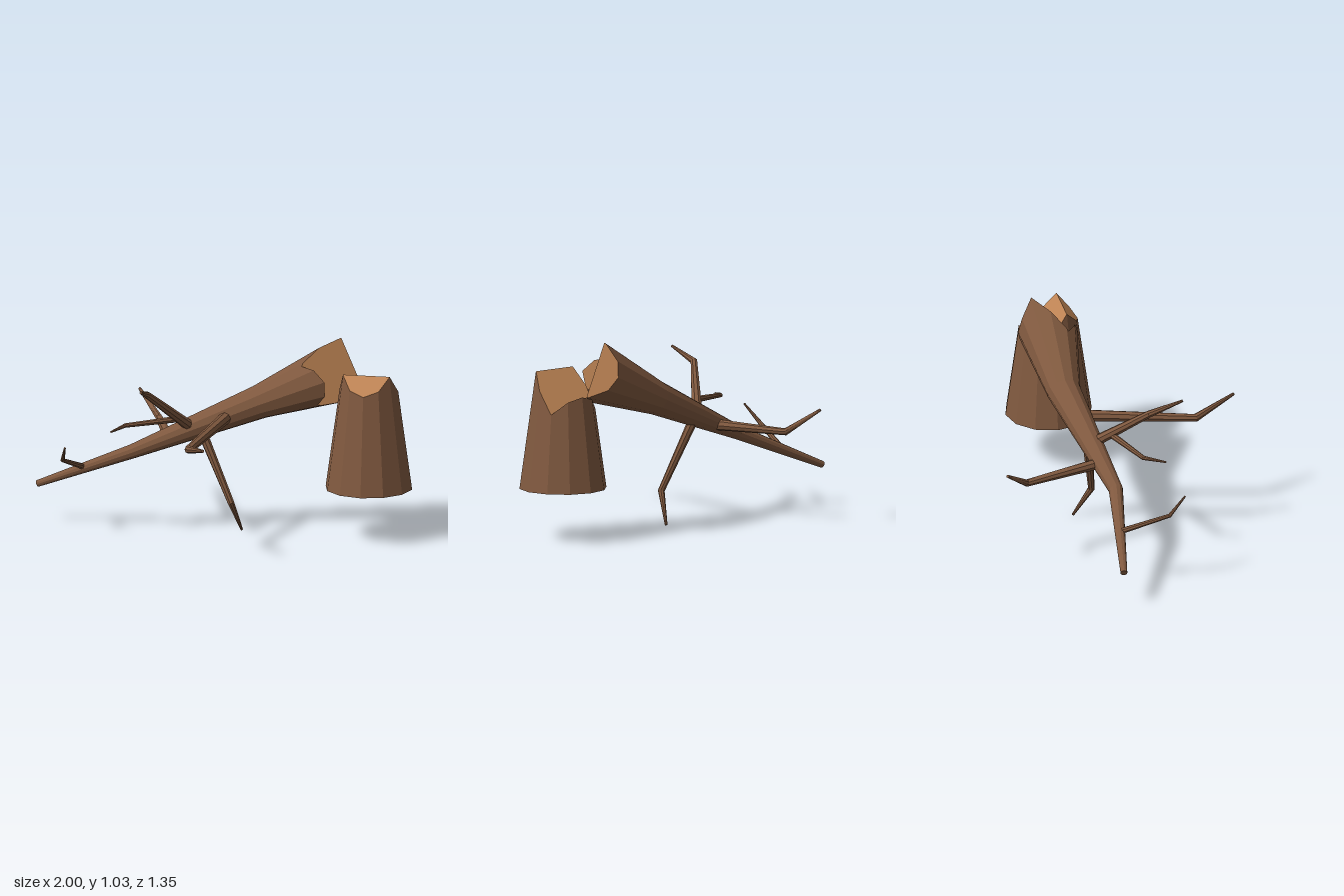
import * as THREE from 'three';

const bark = new THREE.MeshStandardMaterial({ color: 0x80593f, flatShading: true });
const wood = new THREE.MeshStandardMaterial({ color: 0xc18656, flatShading: true });
const V = (x, y, z) => new THREE.Vector3(x, y, z);

// Mesh from a flat list of triangle corners
function facets(name, corners, material) {
  const geometry = new THREE.BufferGeometry().setFromPoints(corners);
  geometry.computeVertexNormals();
  const mesh = new THREE.Mesh(geometry, material);
  mesh.name = name;
  return mesh;
}

const quad = (out, a, b, c, d) => out.push(a, b, c, a, c, d);

// Tapered limb through [x, y, z, radius] stations, with mitred rings
function limb(name, stations, sides, ref, endDir) {
  const pts = stations.map(s => V(s[0], s[1], s[2]));
  const last = pts.length - 1;
  const dir = i => pts[i + 1].clone().sub(pts[i]).normalize();
  const rings = pts.map((p, i) => {
    let t;
    if (i === 0) t = dir(0);
    else if (i === last) t = endDir || dir(i - 1);
    else t = dir(i - 1).add(dir(i)).normalize();
    const u = ref.clone().addScaledVector(t, -ref.dot(t)).normalize();
    const v = t.clone().cross(u);
    return Array.from({ length: sides }, (_, j) => {
      const a = j / sides * Math.PI * 2;
      return p.clone()
        .addScaledVector(u, Math.cos(a) * stations[i][3])
        .addScaledVector(v, Math.sin(a) * stations[i][3]);
    });
  });
  const out = [];
  for (let j = 0; j < sides; j++) {
    const k = (j + 1) % sides;
    for (let i = 0; i < last; i++)
      quad(out, rings[i][j], rings[i][k], rings[i + 1][k], rings[i + 1][j]);
    out.push(pts[0], rings[0][k], rings[0][j]);
    out.push(pts[last], rings[last][j], rings[last][k]);
  }
  return facets(name, out, bark);
}

// Twelve-sided tapered log along +y whose top follows a zigzag [z, y] profile
function choppedLog(name, radiusAt, profile) {
  const group = new THREE.Group();
  group.name = name;
  const step = Math.PI / 6;
  const flat = a => {
    const m = ((a % step) + step) % step;
    return Math.cos(step / 2) / Math.cos(m - step / 2);
  };
  const heightAt = z => {
    let i = 0;
    while (i < profile.length - 2 && z > profile[i + 1][0]) i++;
    const [z0, y0] = profile[i], [z1, y1] = profile[i + 1];
    return y0 + (y1 - y0) * (z - z0) / (z1 - z0);
  };
  // Angles of the corners, plus where each ridge or valley meets the bark
  const angles = [-3, -2, -1, 0, 1, 2, 3].map(i => i * step);
  for (const [z, y] of profile.slice(1, -1)) {
    let a = 0;
    for (let n = 0; n < 30; n++) a = Math.asin(z / (flat(a) * radiusAt(y)));
    angles.push(a);
  }
  angles.sort((a, b) => a - b);
  const at = (a, y) => {
    const r = flat(a) * radiusAt(y);
    return V(r * Math.cos(a), y, r * Math.sin(a));
  };
  const top = angles.map(a => {
    let y = 0.4;
    for (let n = 0; n < 30; n++) y = heightAt(flat(a) * radiusAt(y) * Math.sin(a));
    return at(a, y);
  });
  const low = angles.map(a => at(a, 0));
  const mirror = p => V(-p.x, p.y, p.z);
  const side = [], cut = [], centre = V(0, 0, 0);
  for (let i = 0; i < top.length - 1; i++) {
    const [a, b, c, d] = [low[i], top[i], top[i + 1], low[i + 1]];
    quad(side, a, b, c, d);
    quad(side, mirror(d), mirror(c), mirror(b), mirror(a));
    side.push(centre, a, d, centre, mirror(d), mirror(a));
    quad(cut, mirror(b), mirror(c), c, b);
  }
  group.add(facets(name + 'Bark', side, bark), facets(name + 'CutFace', cut, wood));
  return group;
}

export function createModel() {
  const model = new THREE.Group();
  model.name = 'fallenTree';
  const X = V(1, 0, 0), Y = V(0, 1, 0), Z = V(0, 0, 1);

  // Stump with a ridge and a notch
  const stump = choppedLog('stump', y => 0.23 - 0.141 * y,
    [[-0.17, 0.51], [-0.085, 0.41], [0.07, 0.62], [0.16, 0.52]]);
  stump.position.set(0.77, 0.27, -0.16);
  model.add(stump);

  // Broken butt of the trunk, leaning on the stump
  const tilt = 1.162;
  const butt = choppedLog('trunkButt', s => 0.09 + 0.16 * s,
    [[-0.15, 0.43], [-0.08, 0.52], [0.08, 0.306], [0.15, 0.4]]);
  butt.position.set(0.18, 0.69, -0.21);
  butt.rotation.z = -tilt;
  model.add(butt);

  // Rest of the trunk down to its tip
  model.add(limb('trunk', [
    [-0.99, 0.207, -0.147, 0.018], [-0.47, 0.425, -0.075, 0.038], [0.18, 0.69, -0.21, 0.09],
  ], 12, Z, V(Math.sin(tilt), Math.cos(tilt), 0)));

  // Bent side branches
  const branches = [
    ['frontBranch', X, [[0.02, 0.62, -0.15, 0.033], [-0.07, 0.585, 0.44, 0.022], [0.05, 0.64, 0.67, 0.008]]],
    ['backBranch', X, [[-0.28, 0.49, -0.11, 0.03], [-0.42, 0.49, -0.54, 0.019], [-0.55, 0.61, -0.67, 0.008]]],
    ['lowerBranch', X, [[-0.12, 0.54, -0.15, 0.026], [0.05, 0.17, -0.09, 0.018], [0.09, 0.005, -0.18, 0.007]]],
    ['upperBranch', X, [[-0.16, 0.55, -0.13, 0.03], [-0.35, 0.785, 0.13, 0.019], [-0.35, 0.843, 0.31, 0.007]]],
    ['forkTwig', Y, [[-0.21, 0.62, -0.05, 0.018], [-0.48, 0.6, 0.07, 0.012], [-0.535, 0.59, 0.18, 0.005]]],
    ['tipTwig', X, [[-0.74, 0.32, -0.11, 0.016], [-0.8, 0.415, 0.14, 0.011], [-0.77, 0.505, 0.23, 0.005]]],
  ];
  for (const [name, ref, stations] of branches) model.add(limb(name, stations, 8, ref));

  return model;
}
